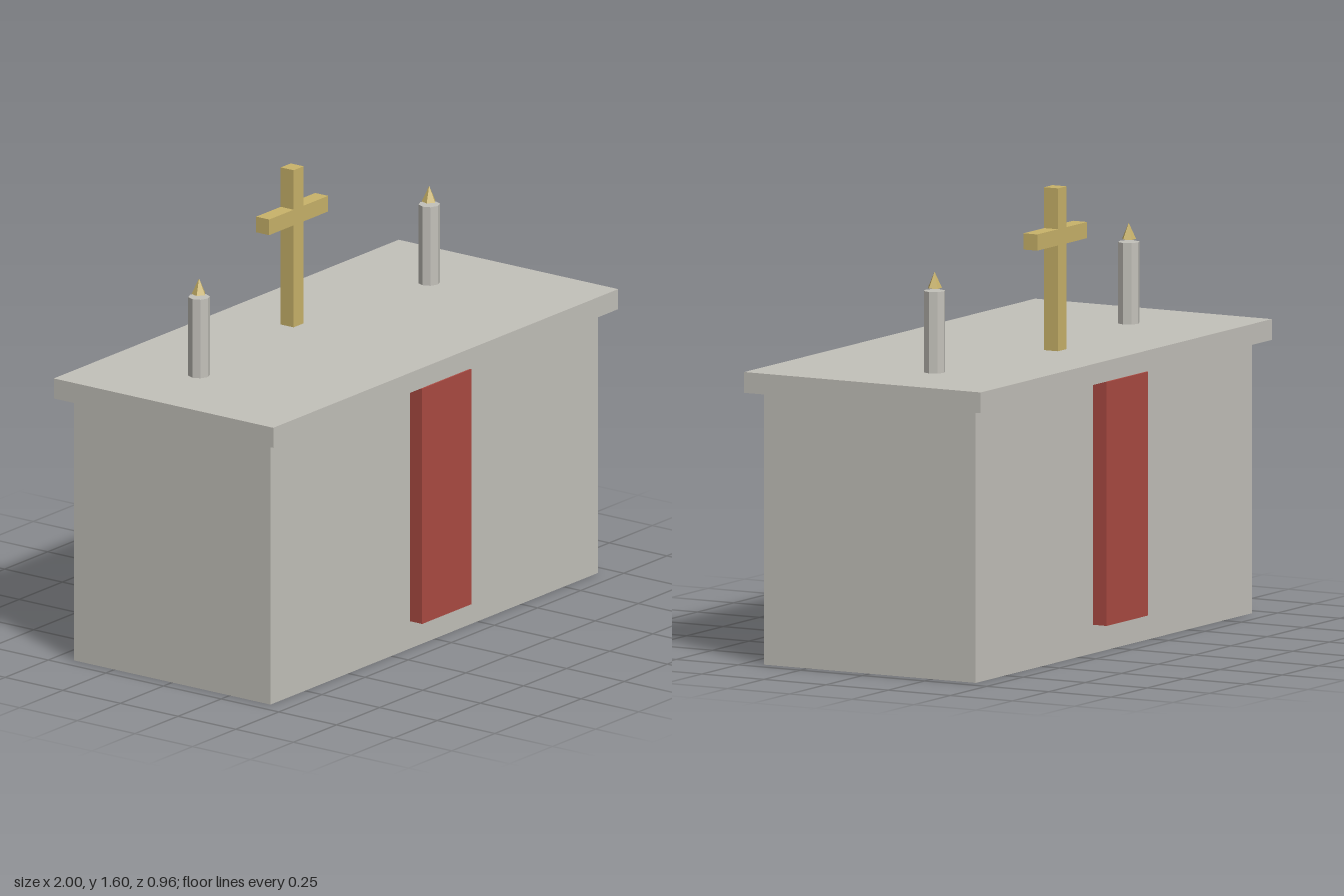
import * as THREE from 'three';

export function createModel() {
  const model = new THREE.Group();
  model.name = 'altar';

  const mat = (name, color) => {
    const m = new THREE.MeshStandardMaterial({ color, flatShading: true });
    m.name = name;
    return m;
  };
  const stone = mat('stone', 0xc3c1ba);
  const cloth = mat('redCloth', 0xab4a42);
  const gold = mat('gold', 0xc9b36a);

  const add = (name, geometry, material, x, y, z, parent = model) => {
    const mesh = new THREE.Mesh(geometry, material);
    mesh.name = name;
    mesh.position.set(x, y, z);
    parent.add(mesh);
    return mesh;
  };
  // Box given by its width, depth, bottom and top
  const box = (name, w, d, y0, y1, material, z = 0, parent = model) =>
    add(name, new THREE.BoxGeometry(w, y1 - y0, d), material, 0, (y0 + y1) / 2, z, parent);

  // Stone block and overhanging top slab
  box('base', 1.9, 0.853, 0, 0.957, stone);
  box('topSlab', 2, 0.952, 0.957, 1.03, stone);

  // Cloth hangings, front and back
  for (const [name, s] of [['frontCloth', 1], ['backCloth', -1]])
    box(name, 0.285, 0.055, 0.1, 0.956, cloth, s * 0.453);

  // Cross
  const cross = new THREE.Group();
  cross.name = 'cross';
  model.add(cross);
  box('crossUpright', 0.058, 0.056, 1.03, 1.602, gold, -0.19, cross);
  for (const [name, s] of [['leftArm', 1], ['rightArm', -1]])
    add(name, new THREE.BoxGeometry(0.142, 0.057, 0.056), gold, s * 0.1, 1.43, -0.19, cross);

  // Candles with small faceted flames
  for (const [name, s] of [['leftCandle', 1], ['rightCandle', -1]]) {
    const candle = new THREE.Group();
    candle.name = name;
    candle.position.set(s * 0.667, 1.03, -0.095);
    model.add(candle);
    add('wax', new THREE.CylinderGeometry(0.038, 0.038, 0.286, 8), stone, 0, 0.143, 0, candle);
    add('flame', new THREE.ConeGeometry(0.026, 0.057, 5), gold, 0, 0.324, 0, candle);
  }

  return model;
}
